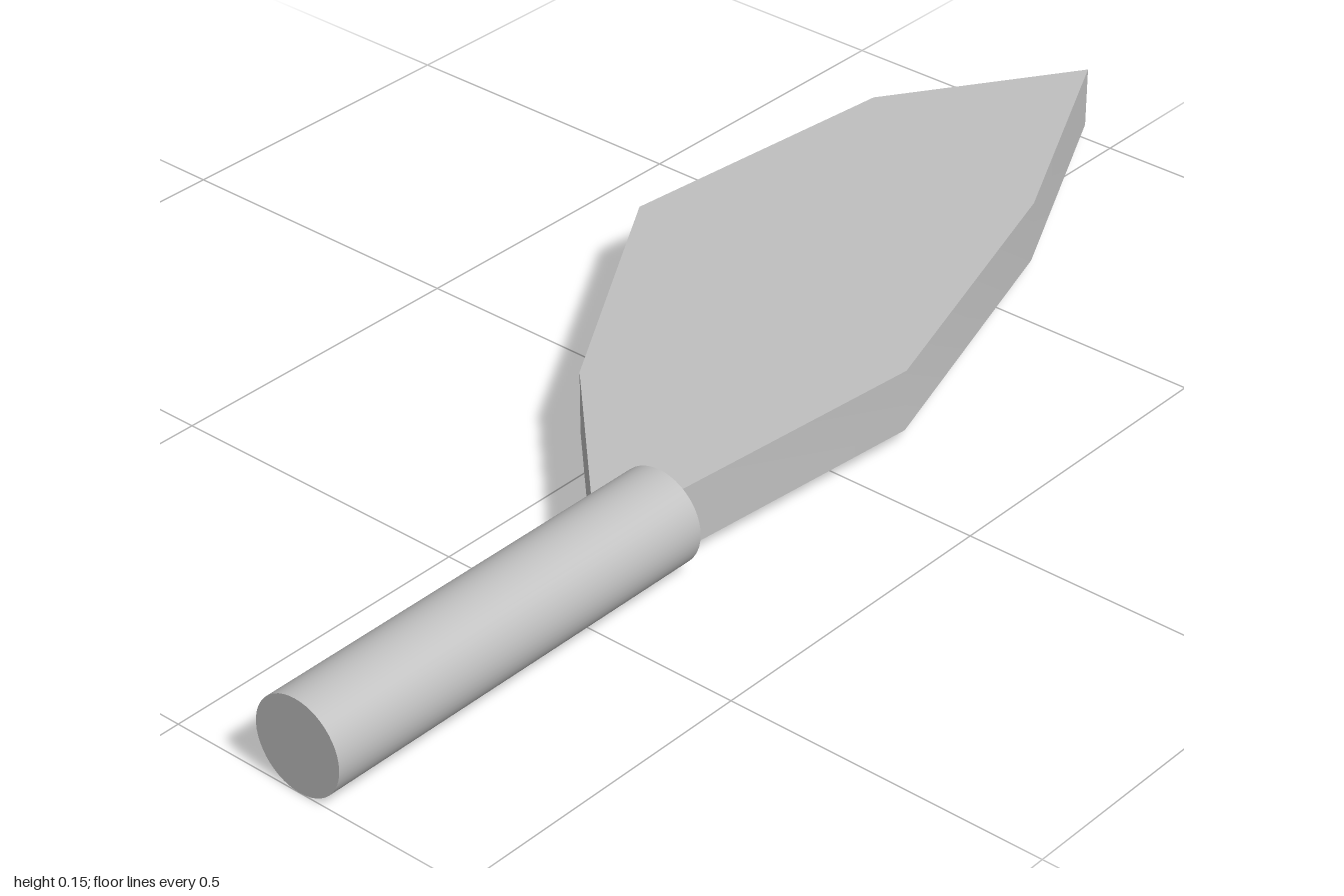
import * as THREE from 'three';
import { toCreasedNormals } from 'three/addons/utils/BufferGeometryUtils.js';

export function createModel() {
  const group = new THREE.Group();
  const grey = new THREE.MeshStandardMaterial({ color: 0xc0c0c0 });
  grey.name = 'light grey';

  // Round handle lying along x
  const radius = 0.073;
  const handleGeometry = new THREE.CylinderGeometry(radius, radius, 0.68, 48);
  handleGeometry.rotateZ(Math.PI / 2);
  const handle = new THREE.Mesh(handleGeometry, grey);
  handle.name = 'handle';
  handle.position.set(-0.66, radius, 0.22);
  group.add(handle);

  // Flat leaf-shaped blade, outline in x and z, its root buried in the handle
  const outline = [
    [-0.43, 0.2], [-0.18, -0.05], [0.22, -0.293], [0.71, -0.245],
    [1, -0.05], [0.61, 0.14], [0.12, 0.29], [-0.39, 0.243],
  ].map(([x, z]) => new THREE.Vector2(x, z));
  const thickness = 0.098;
  const bladeGeometry = new THREE.ExtrudeGeometry(new THREE.Shape(outline), {
    depth: thickness, bevelEnabled: false,
  });
  bladeGeometry.rotateX(Math.PI / 2);
  const blade = new THREE.Mesh(toCreasedNormals(bladeGeometry, THREE.MathUtils.degToRad(25)), grey);
  blade.name = 'blade';
  blade.position.y = radius + thickness / 2;
  group.add(blade);

  return group;
}
